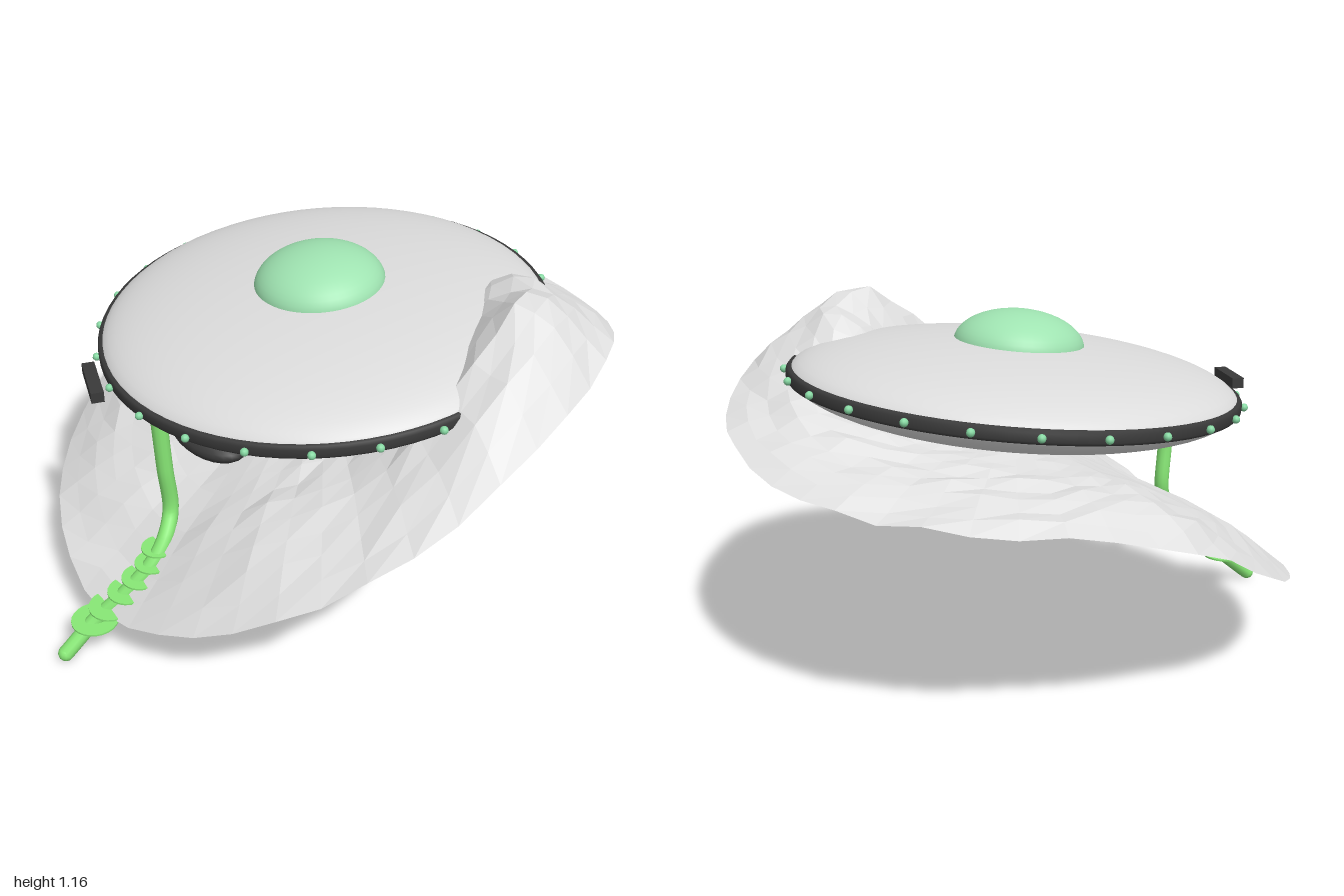
import * as THREE from 'three';

const mat = (name, color, side = THREE.FrontSide) => {
  const m = new THREE.MeshStandardMaterial({ color, side });
  m.name = name;
  return m;
};

// Catmull-Rom through four neighbouring values
function spline(a, b, c, d, t) {
  return b + 0.5 * t * (c - a + t * (2 * a - 5 * b + 4 * c - d + t * (3 * (b - c) + d - a)));
}

function seeded(seed) {
  return () => {
    seed = (seed * 16807) % 2147483647;
    return seed / 2147483647 - 0.5;
  };
}

// Ground heights every 30 degrees, starting at the front and turning towards +x
const CENTRE_Z = -0.075;
const RADIUS = 0.925;
const RINGS = [
  { r: 0, h: Array(12).fill(0.75) },
  { r: 0.35, h: [0.58, 0.64, 0.71, 0.80, 0.89, 0.89, 0.83, 0.79, 0.77, 0.72, 0.65, 0.60] },
  { r: 0.67, h: [0.37, 0.53, 0.70, 1.02, 1.10, 0.96, 0.86, 0.78, 0.75, 0.70, 0.55, 0.45] },
  { r: 0.82, h: [0.235, 0.42, 0.64, 1.01, 1.06, 0.90, 0.82, 0.75, 0.73, 0.66, 0.46, 0.335] },
  { r: RADIUS, h: [0.15, 0.31, 0.58, 0.87, 0.97, 0.86, 0.78, 0.72, 0.70, 0.60, 0.37, 0.245] },
];

// Pushed-up crests of the ridge: x, z, height, spread
const CRESTS = [[0.66, -0.2, 0.07, 0.03], [0.38, -0.4, 0.09, 0.016]];

function ringHeight(h, angle) {
  const a = ((angle / (Math.PI * 2)) * 12 + 12) % 12;
  const i = Math.floor(a);
  const at = (k) => h[(i + k + 12) % 12];
  return spline(at(-1), at(0), at(1), at(2), a - i);
}

function groundHeight(x, z) {
  const r = Math.hypot(x, z);
  const angle = Math.atan2(x, z);
  let i = 0;
  while (i < RINGS.length - 2 && r > RINGS[i + 1].r) i++;
  const t = Math.min(1, (r - RINGS[i].r) / (RINGS[i + 1].r - RINGS[i].r));
  let y = THREE.MathUtils.lerp(ringHeight(RINGS[i].h, angle), ringHeight(RINGS[i + 1].h, angle), t);
  for (const [cx, cz, height, spread] of CRESTS) {
    y += height * Math.exp(-((x - cx) ** 2 + (z - cz) ** 2) / spread);
  }
  return y;
}

function makeGround(material) {
  const segments = 44;
  const geo = new THREE.RingGeometry(0.002, RADIUS, segments, 14);
  geo.rotateX(-Math.PI / 2);
  const p = geo.attributes.position;
  const rand = seeded(421);
  const row = segments + 1;
  for (let i = 0; i < p.count; i++) {
    const x = p.getX(i), z = p.getZ(i), r = Math.hypot(x, z);
    // roughness fades at the centre and under the stem
    const calm = Math.min(1, r * r * 3) * (z > 0.5 && Math.abs(x) < 0.12 ? 0.2 : 1);
    p.setY(i, groundHeight(x, z) + rand() * 0.022 * calm);
    // close the seam
    if (i % row === segments) p.setY(i, p.getY(i - segments));
  }
  const flat = geo.toNonIndexed();
  flat.computeVertexNormals();
  const mesh = new THREE.Mesh(flat, material);
  mesh.name = 'crumpledGround';
  mesh.position.z = CENTRE_Z;
  return mesh;
}

export function createModel() {
  const model = new THREE.Group();
  model.name = 'crashedSaucer';
  const hullGrey = mat('hullGrey', 0xdcdcdc);
  const rimDark = mat('rimDark', 0x3a3a3a);
  const glassGreen = mat('glassGreen', 0x9fe3b1);
  const lightGreen = mat('lightGreen', 0x86d8a2);
  const slimeGreen = mat('slimeGreen', 0x88e876);
  const groundGrey = mat('groundGrey', 0xe2e2e2, THREE.DoubleSide);

  const add = (parent, name, geo, material, x = 0, y = 0, z = 0) => {
    const m = new THREE.Mesh(geo, material);
    m.name = name;
    m.position.set(x, y, z);
    parent.add(m);
    return m;
  };

  model.add(makeGround(groundGrey));

  // Tilted saucer
  const saucer = new THREE.Group();
  saucer.name = 'saucer';
  saucer.position.set(0, 0.91, -0.07);
  saucer.rotation.set(0.083, 0, 0.025);
  model.add(saucer);
  add(saucer, 'hull', new THREE.SphereGeometry(1, 64, 32), hullGrey).scale.set(0.73, 0.145, 0.73);
  add(saucer, 'dome', new THREE.SphereGeometry(1, 48, 24), glassGreen, -0.005, 0.125, 0).scale.set(0.213, 0.115, 0.213);

  // Dark band around the edge
  const band = [[0.721, -0.022], [0.732, -0.021], [0.738, -0.012], [0.738, 0.012], [0.732, 0.021], [0.721, 0.022]];
  add(saucer, 'rim', new THREE.LatheGeometry(band.map(([x, y]) => new THREE.Vector2(x, y)), 72), rimDark);

  // Ring of small lights
  const bulb = new THREE.SphereGeometry(0.013, 10, 8);
  for (let i = 0; i < 24; i++) {
    const a = THREE.MathUtils.degToRad(2 + i * 15);
    add(saucer, 'rimLight', bulb, lightGreen, -Math.sin(a) * 0.745, 0, -Math.cos(a) * 0.745);
  }

  // Thruster pods on the underside
  add(model, 'frontPod', new THREE.SphereGeometry(1, 24, 12), rimDark, 0.2, 0.815, 0.545).scale.set(0.15, 0.046, 0.085);
  add(model, 'sidePort', new THREE.CylinderGeometry(0.052, 0.052, 0.02, 24), rimDark, 0.35, 0.818, -0.32);

  // Loose panel torn from the rim
  add(model, 'loosePanel', new THREE.BoxGeometry(0.185, 0.035, 0.04), rimDark, -0.2, 0.865, 0.69).rotation.y = -0.4;

  // Slimy stem running down from the hull and along the ground
  const path = new THREE.CatmullRomCurve3([
    [0, 0.8, 0.59], [0, 0.6, 0.58], [0, 0.43, 0.57], [0.035, 0.365, 0.62], [0.045, 0.3, 0.68],
    [0.02, 0.21, 0.77], [-0.025, 0.115, 0.87], [-0.04, 0.025, 0.98],
  ].map((q) => new THREE.Vector3(...q)));
  add(model, 'stem', new THREE.TubeGeometry(path, 60, 0.026, 12), slimeGreen);
  for (const t of [0, 1]) {
    const end = path.getPoint(t);
    add(model, 'stemEnd', new THREE.SphereGeometry(0.026, 12, 8), slimeGreen, end.x, end.y, end.z);
  }

  // Flat discs threaded on the lower stem
  const discs = [[0.03, 0.335, 0.645, 0.055], [0.045, 0.3, 0.68, 0.058], [0.037, 0.257, 0.722, 0.063],
    [0.024, 0.215, 0.765, 0.068], [0, 0.165, 0.818, 0.074], [-0.025, 0.117, 0.87, 0.077]];
  for (const [x, y, z, r] of discs) {
    add(model, 'stemDisc', new THREE.CylinderGeometry(r, r, 0.006, 24), slimeGreen, x, y, z);
  }
  return model;
}
